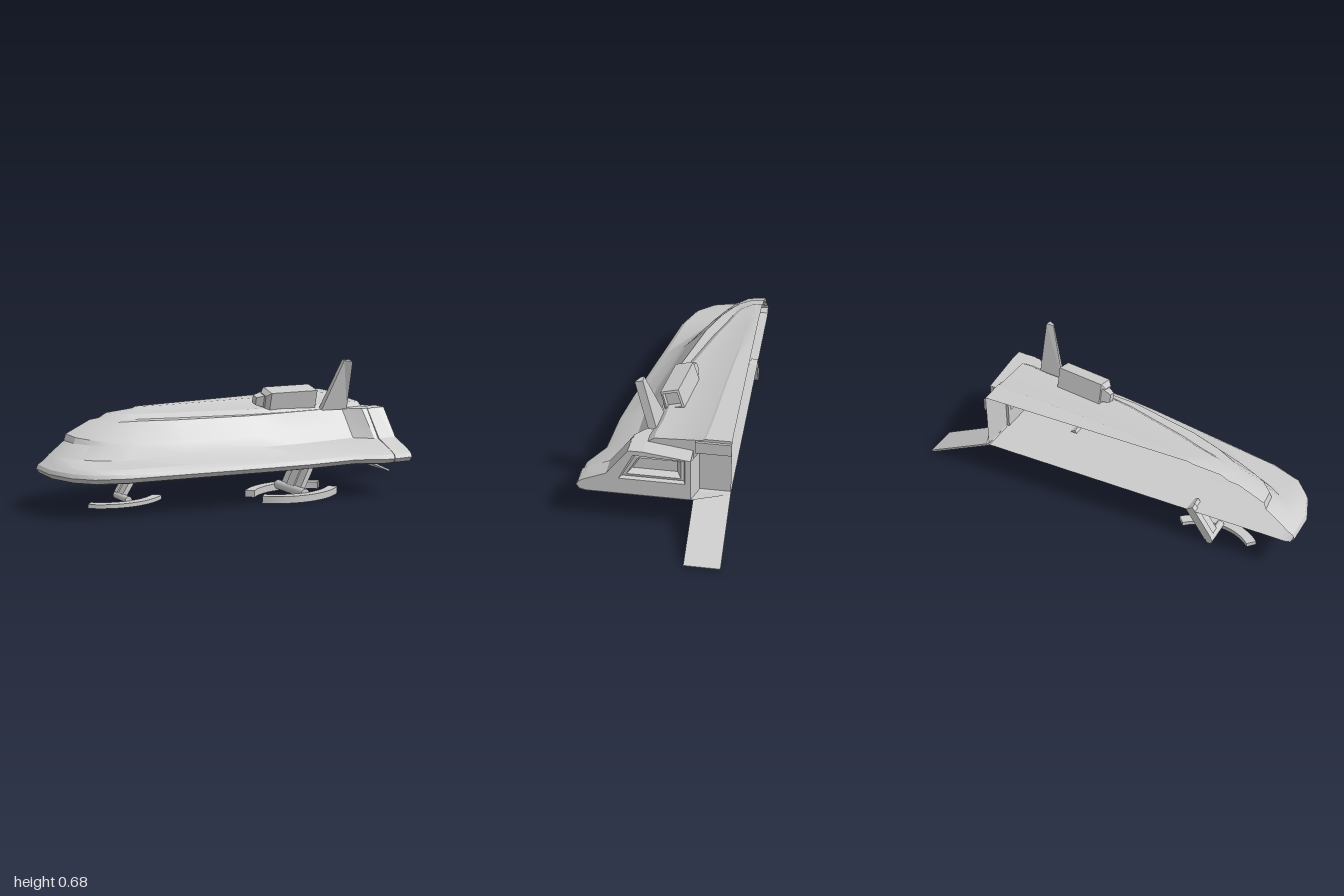
import * as THREE from 'three';
import { toCreasedNormals } from 'three/addons/utils/BufferGeometryUtils.js';

const mat = new THREE.MeshStandardMaterial({ color: 0xcccccc, side: THREE.DoubleSide });
const CUT = -0.358; // open plane where the half hull ends

function add(parent, name, geo) {
  const m = new THREE.Mesh(geo, mat);
  m.name = name;
  parent.add(m);
  return m;
}

// Skin between neighbouring rails, each a list of [x, y, z] with equal counts
function loft(rails, crease = 0.45) {
  const n = rails[0].length, index = [];
  for (let r = 0; r < rails.length - 1; r++) {
    for (let i = 0; i < n - 1; i++) {
      const a = r * n + i, b = a + n;
      index.push(a, a + 1, b, b, a + 1, b + 1);
    }
  }
  const geo = new THREE.BufferGeometry();
  geo.setAttribute('position', new THREE.Float32BufferAttribute(rails.flat(2), 3));
  geo.setIndex(index);
  return toCreasedNormals(geo, crease);
}

// Rail from [x, z] stations with one height or a height per station
const rail = (y, pts) => pts.map(([x, z], i) => [x, Array.isArray(y) ? y[i] : y, z]);
const closed = (loop) => [...loop, loop[0]];
// Outline in (z, y), laid out so that turning it by a quarter faces it along +x
const outline = (pts) => new THREE.Shape(pts.map(([z, y]) => new THREE.Vector2(-z, y)));
const facingX = (geo, x) => geo.rotateY(Math.PI / 2).translate(x, 0, 0);

// Box between two points of a side view
function beam(parent, name, [x0, y0], [x1, y1], thick, z0, z1) {
  const m = add(parent, name, new THREE.BoxGeometry(Math.hypot(x1 - x0, y1 - y0), thick, z1 - z0));
  m.position.set((x0 + x1) / 2, (y0 + y1) / 2, (z0 + z1) / 2);
  m.rotation.z = Math.atan2(y1 - y0, x1 - x0);
  return m;
}

function hull() {
  const rim = [[-1, CUT], [-1, -0.2], [-0.95, -0.06], [-0.87, 0.03], [-0.72, 0.09], [-0.4, 0.15],
    [0, 0.225], [0.2, 0.257], [0.45, 0.275], [0.58, 0.345], [0.73, 0.358]];
  const lean = [1, 0.9, 0.7, 0.5, 0.3, 0.15, 0.1, 0, 0, 0, 0];
  const inset = (d) => rim.map(([x, z], i) => [x + d * lean[i], i ? z - d * (1 - lean[i]) : z]);
  const floorEdge = inset(0.045);
  const keel = floorEdge.map(([x], i) => [i > 8 ? 0.62 + 0.02 * (i - 8) : x, CUT]);
  const keelSide = floorEdge.map(([x, z]) => [x, Math.min(z, -0.18)]);
  const sideLow = rail([0.27, 0.27, 0.265, 0.26, 0.26, 0.28, 0.285, 0.285, 0.285, 0.285, 0.285],
    [[-0.93, CUT], [-0.92, -0.25], [-0.85, -0.17], [-0.78, -0.12], [-0.66, -0.06], [-0.4, 0.03],
      [0, 0.1], [0.2, 0.12], [0.53, 0.125], [0.61, 0.2], [0.73, 0.215]]);
  const sideTop = rail([0.42, 0.42, 0.42, 0.42, 0.425, 0.425, 0.425, 0.425, 0.425, 0.425, 0.425],
    [[-0.71, CUT], [-0.7, -0.29], [-0.66, -0.24], [-0.62, -0.21], [-0.52, -0.16], [-0.36, -0.1],
      [0, -0.015], [0.2, 0], [0.53, 0.02], [0.6, 0.1], [0.73, 0.11]]);
  // Step that wraps around the nose and fades out along the side
  const step = (t, lift) => sideLow.map((p, i) =>
    p.map((v, k) => v + (sideTop[i][k] - v) * t + (k === 1 ? lift * Math.max(0, 1 - i / 5) : 0)));
  const deck = [[-0.66, CUT], [-0.66, -0.3], [-0.61, -0.25], [-0.57, -0.23], [-0.44, -0.19], [-0.32, -0.145],
    [0, -0.05], [0.2, -0.01], [0.5, 0.012], [0.6, 0.03], [0.645, 0.03]];
  const deckTop = deck.map(([x, z], i) =>
    i < 5 ? [x + 0.04, Math.max(CUT, z - 0.015)] : [x, z - 0.03]);
  const ridge = [[-0.48, CUT], [-0.48, -0.34], [-0.47, -0.32], [-0.43, -0.31], [-0.36, -0.3], [-0.27, -0.29],
    [0, -0.27], [0.2, -0.255], [0.5, -0.235], [0.6, -0.225], [0.645, -0.22]];
  const ridgeTop = ridge.map(([x, z], i) => [i < 6 ? x + 0.025 : x, Math.max(CUT, z - 0.015)]);
  return loft([
    rail(0.175, keel), rail(0.175, keelSide), rail(0.175, floorEdge), rail(0.182, inset(0.018)),
    rail(0.205, rim), rail(0.225, inset(0.01)), rail(0.243, inset(0.04)),
    sideLow, step(0.36, 0.005), step(0.41, 0.03), sideTop,
    rail(0.425, deck), rail(0.447, deckTop), rail(0.457, ridge), rail(0.465, ridgeTop),
    rail(0.465, ridgeTop.map(([x]) => [x, CUT])),
  ]);
}

function stern(parent) {
  // Solid tail block with a recessed window
  const pod = outline([[-0.18, 0.177], [0.315, 0.177], [0.34, 0.185], [0.355, 0.205], [0.345, 0.225],
    [0.315, 0.242], [0.213, 0.285], [0.108, 0.424], [0.04, 0.424], [-0.18, 0.395]]);
  const frame = [[0.155, 0.263], [0.087, 0.4], [-0.155, 0.392], [-0.155, 0.263]];
  pod.holes.push(outline(frame));
  add(parent, 'tailBlock', facingX(new THREE.ExtrudeGeometry(pod, { depth: 0.1, bevelEnabled: false }), 0.63));
  const inner = [[0.12, 0.285], [0.065, 0.38], [-0.135, 0.38], [-0.135, 0.285]];
  const pane = [[0.095, 0.303], [0.06, 0.362], [-0.115, 0.362], [-0.115, 0.303]];
  const ring = (x, pts) => closed(pts.map(([z, y]) => [x, y, z]));
  add(parent, 'tailWindowFrame', loft([ring(0.73, frame), ring(0.715, frame.map(([z, y], i) =>
    [z + (inner[i][0] - z) * 0.4, y + (inner[i][1] - y) * 0.4])), ring(0.718, inner), ring(0.69, pane)], 0.1));
  add(parent, 'tailWindow', facingX(new THREE.ShapeGeometry(outline(pane)), 0.69));

  // Rear bulkhead, door surround and boarding ramp
  add(parent, 'rearBulkhead', facingX(new THREE.ShapeGeometry(outline([[CUT, 0.175], [-0.18, 0.175],
    [-0.18, 0.395], [0.03, 0.424], [0, 0.447], [-0.22, 0.457], [-0.235, 0.465], [CUT, 0.465]])), 0.643));
  add(parent, 'doorPost', loft([[[0.73, 0.177, -0.18], [0.73, 0.395, -0.18]],
    [[0.645, 0.177, -0.21], [0.645, 0.395, -0.21]]]));
  beam(parent, 'doorLintel', [0.643, 0.42], [0.655, 0.42], 0.06, CUT, -0.19);
  beam(parent, 'ramp', [0.64, 0.177], [0.997, 0.007], 0.01, CUT, -0.188);
}

function engine(parent) {
  // Tilted pod on the deck: tapered front, hollow rear
  const corners = [[0.015, 0.525], [-0.07, 0.547], [-0.1, 0.45], [-0.01, 0.425]];
  const loop = (x, s, dz) => closed(corners.map(([z, y]) => [x, 0.485 + (y - 0.485) * s, -0.04 + (z + 0.04) * s + dz]));
  add(parent, 'enginePod', loft([loop(0.115, 0, -0.036), loop(0.115, 0.6, -0.036), loop(0.135, 1, -0.034),
    loop(0.385, 1, 0), loop(0.388, 0.78, 0), loop(0.365, 0.7, 0), loop(0.365, 0, 0)], 0.1));
  add(parent, 'engineIntake', loft([loop(0.08, 0, -0.045), loop(0.08, 0.4, -0.06), loop(0.135, 0.7, -0.045)], 0.1));
}

function fin(parent) {
  const base = [[0.405, -0.01], [0.41, 0.015], [0.545, 0.045], [0.545, 0.005]];
  const tip = [[0.495, 0.07], [0.5, 0.085], [0.535, 0.108], [0.535, 0.07]];
  const top = closed(rail([0.68, 0.678, 0.672, 0.68], tip));
  add(parent, 'tailFin', loft([closed(rail(0.42, base)), top, top.map(() => [0.516, 0.677, 0.083])], 0.1));
}

// Landing leg: curved skids, cross axle and sloping plank strut
function landingLeg(name, { x, z, half, mid, height, radius, halfWidth, top, whole }) {
  const leg = new THREE.Group();
  leg.name = name;
  const R = 0.326 * half / 0.225, r = R - 0.05, a = Math.asin(half / R);
  const arc = new THREE.Shape();
  arc.absarc(0, 0, R, Math.PI / 2 - a, Math.PI / 2 + a, false);
  arc.absarc(0, 0, r, Math.PI / 2 + a, Math.PI / 2 - a, true);
  for (const s of whole ? [1, -1] : [1]) {
    const geo = new THREE.ExtrudeGeometry(arc, { depth: height, bevelEnabled: false, curveSegments: 14 });
    geo.rotateX(Math.PI / 2).translate(0, height, mid - R);
    if (s < 0) geo.rotateY(Math.PI);
    add(leg, 'skid', toCreasedNormals(geo, 0.5)).position.set(x, 0, z);
  }
  const reach = mid - 0.045, z0 = whole ? z - reach : z;
  const axle = add(leg, 'axle', new THREE.CylinderGeometry(radius, radius, z + reach - z0, 16));
  axle.rotation.x = Math.PI / 2;
  axle.position.set(x, radius + 0.007, (z0 + z + reach) / 2);
  const foot = [x + 0.005, radius + 0.015];
  beam(leg, 'strut', foot, top, 0.026, whole ? z - halfWidth : z, z + halfWidth);
  beam(leg, 'strutRib', foot, top, 0.04, whole ? z - 0.033 : z, z + 0.033);
  return leg;
}

export function createModel() {
  const ship = new THREE.Group();
  ship.name = 'halfShuttle';
  add(ship, 'hull', hull());
  stern(ship);
  engine(ship);
  fin(ship);
  ship.add(landingLeg('rearLeg', { x: 0.235, z: 0.008, half: 0.225, mid: 0.173, height: 0.035,
    radius: 0.024, halfWidth: 0.088, top: [0.315, 0.185], whole: true }));
  ship.add(landingLeg('frontLeg', { x: -0.572, z: CUT, half: 0.203, mid: 0.183, height: 0.02,
    radius: 0.018, halfWidth: 0.08, top: [-0.465, 0.185], whole: false }));
  return ship;
}
